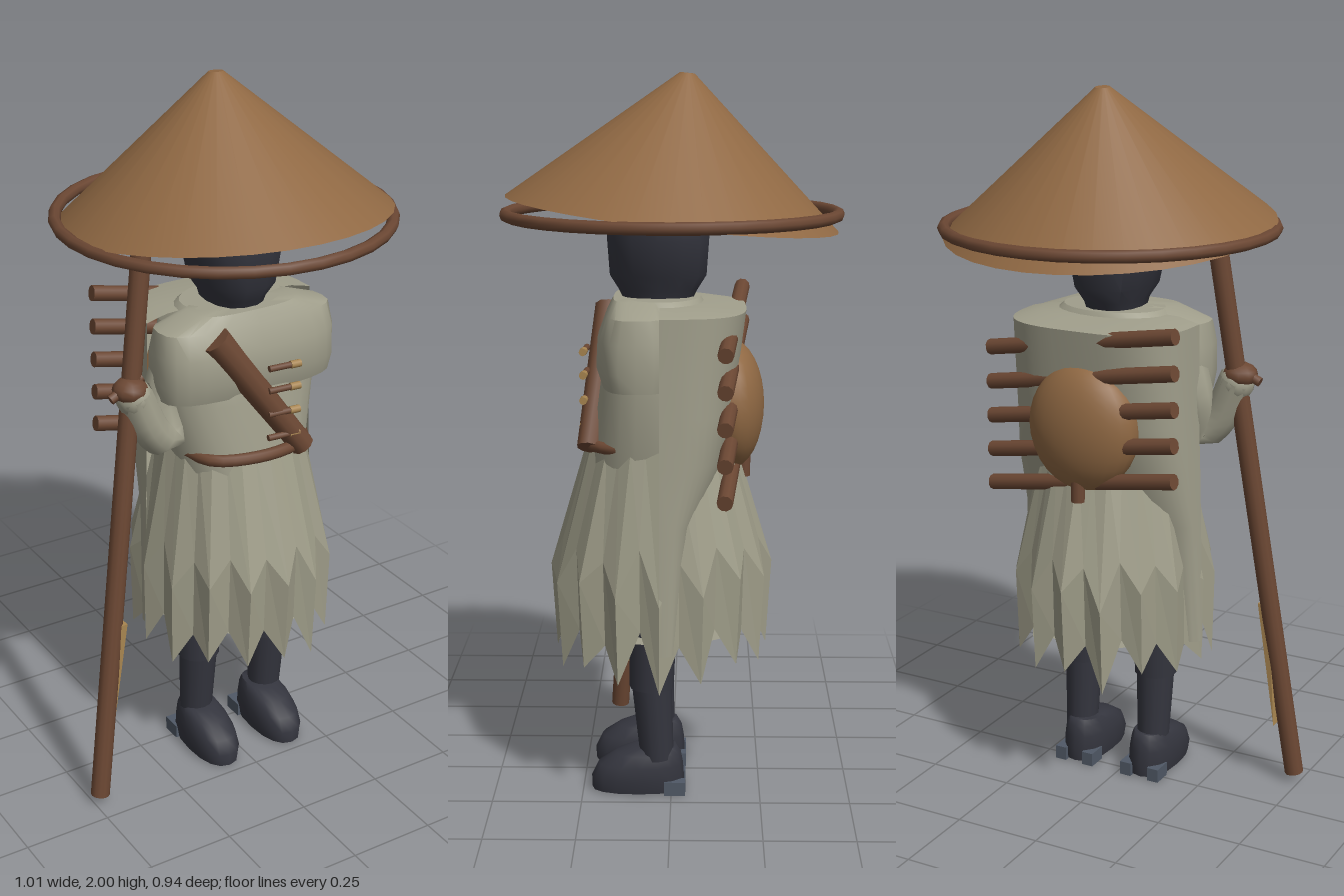
import * as THREE from 'three';
import { toCreasedNormals } from 'three/addons/utils/BufferGeometryUtils.js';

const D = THREE.DoubleSide;
const mat = (name, color, extra = {}) => {
  const m = new THREE.MeshStandardMaterial({ color, ...extra });
  m.name = name;
  return m;
};

// Stack of elliptical rings, bottom to top: { y, cx, cz, rx, rz, p (squareness), vary(i) -> [scale, dy] }
function loft(rings, n = 24, crease = 0.7, from = 0, to = Math.PI * 2) {
  const pos = [], idx = [];
  for (const { y, cx = 0.04, cz = 0.03, rx, rz, p = 1, vary } of rings) {
    for (let i = 0; i <= n; i++) {
      const a = from + (to - from) * i / n, c = Math.cos(a), s = Math.sin(a);
      const [k, dy] = vary ? vary(i % n) : [1, 0];
      pos.push(cx + rx * k * Math.sign(c) * Math.abs(c) ** p, y + dy, cz + rz * k * Math.sign(s) * Math.abs(s) ** p);
    }
  }
  for (let j = 0; j < rings.length - 1; j++) {
    for (let i = 0; i < n; i++) {
      const a = j * (n + 1) + i, b = a + 1, d = a + n + 1, c = d + 1;
      idx.push(a, d, c, a, c, b);
    }
  }
  const g = new THREE.BufferGeometry();
  g.setAttribute('position', new THREE.Float32BufferAttribute(pos, 3));
  g.setIndex(idx);
  return toCreasedNormals(g, crease);
}

export function createModel() {
  const root = new THREE.Group();
  const straw = mat('straw', 0x8f6843, { side: D });
  const wood = mat('wood', 0x6b4733);
  const cloth = mat('cloth', 0xa09e8b, { side: D });
  const pleated = mat('pleatedCloth', 0x9f9d89, { side: D, flatShading: true });
  const dark = mat('darkCloth', 0x34353e);
  const sole = mat('sole', 0x505966);
  const brass = mat('brass', 0xa88550);

  const add = (name, geo, material, x = 0, y = 0, z = 0) => {
    const m = new THREE.Mesh(geo, material);
    m.name = name;
    m.position.set(x, y, z);
    root.add(m);
    return m;
  };
  // Straight round bar between two points
  const bar = (name, a, b, r0, r1, material, sides = 10) => {
    const A = new THREE.Vector3(...a), B = new THREE.Vector3(...b);
    const dir = B.clone().sub(A);
    const m = add(name, new THREE.CylinderGeometry(r1, r0, dir.length(), sides), material);
    m.position.copy(A).add(B).multiplyScalar(0.5);
    m.quaternion.setFromUnitVectors(new THREE.Vector3(0, 1, 0), dir.normalize());
    return m;
  };
  const tube = (name, pts, r, material, n = 16) => add(name, new THREE.TubeGeometry(
    new THREE.CatmullRomCurve3(pts.map(p => new THREE.Vector3(...p))), n, r, 10), material);

  // Hat: tilted closed straw cone over a level rim hoop
  const hat = add('hatCone', new THREE.CylinderGeometry(0.02, 0.458, 0.378, 32), straw, 0.037, 1.813, -0.021);
  hat.rotation.x = -0.11;
  add('hatRim', new THREE.TorusGeometry(0.454, 0.017, 8, 32), wood, 0.037, 1.625, 0).rotation.x = Math.PI / 2;

  // Head wrapped in dark cloth
  const h = (y, rx, rz) => ({ y, cx: 0.037, cz: 0.037, rx, rz, p: 0.85 });
  add('head', loft([h(1.36, 0.07, 0.08), h(1.42, 0.082, 0.11), h(1.46, 0.108, 0.135), h(1.56, 0.13, 0.142),
    h(1.65, 0.138, 0.142), h(1.74, 0.1, 0.1), h(1.77, 0, 0)], 14), dark);

  // Torso and rounded shoulder wrap
  add('torso', loft([
    { y: 0.95, rx: 0.2, rz: 0.2, p: 0.8 }, { y: 1.15, rx: 0.23, rz: 0.17, p: 0.75 },
    { y: 1.35, rx: 0.2, rz: 0.14, p: 0.75 }, { y: 1.4, rx: 0.15, rz: 0.11 }, { y: 1.4, rx: 0, rz: 0 }]), cloth);
  const w = (y, rx, rz) => ({ y, cz: 0.09, rx, rz, p: 0.65 });
  add('shoulderWrap', loft([w(1.17, 0, 0), w(1.17, 0.265, 0.1), w(1.22, 0.272, 0.116), w(1.3, 0.272, 0.112),
    w(1.365, 0.262, 0.088), w(1.4, 0.16, 0.07), w(1.4, 0, 0)]), cloth);

  // Cape: covers the upper back and narrows to side panels below the waist
  const c = (y, rx, rz) => ({ y, cz: 0.03, rx, rz, p: 0.65 });
  add('cape', loft([c(0.45, 0.285, 0.06), c(0.8, 0.275, 0.1), c(0.97, 0.27, 0.18), c(1.1, 0.265, 0.2),
    c(1.37, 0.262, 0.235), c(1.385, 0.2, 0.15), c(1.39, 0.1, 0.08)], 24, 0.7, Math.PI, Math.PI * 2), cloth);

  // Pleated skirt with a ragged hem and an inner floor
  let seed = 7;
  const rnd = () => (seed = (seed * 16807) % 2147483647) / 2147483647;
  const hem = Array.from({ length: 32 }, (_, i) => (i % 2 ? 0.06 : -0.045) + (rnd() - 0.5) * 0.07);
  add('skirt', loft([
    { y: 0.42, rx: 0.285, rz: 0.3, vary: i => [i % 2 ? 0.9 : 0.99, hem[i]] },
    { y: 0.66, rx: 0.285, rz: 0.312, vary: i => [i % 2 ? 0.89 : 1, hem[i] * 0.9] },
    { y: 1.0, rx: 0.208, rz: 0.205, vary: i => [i % 2 ? 0.97 : 1, 0] }], 32, 0.1), pleated);
  add('skirtFloor', loft([{ y: 0.47, rx: 0, rz: 0 }, { y: 0.47, rx: 0.24, rz: 0.25 }]), cloth);

  // Belt across the front
  tube('belt', [[-0.145, 1, 0.09], [-0.11, 1, 0.19], [0.04, 1, 0.235], [0.17, 1, 0.2], [0.222, 1, 0.09]], 0.017, wood);

  // Chest strap with small pegs
  bar('chestStrap', [-0.1, 1.35, 0.178], [0.155, 0.995, 0.225], 0.042, 0.034, wood);
  for (const y of [1.255, 1.19, 1.12, 1.05]) {
    bar('strapPeg', [0.035, y, 0.235], [0.105, y, 0.24], 0.009, 0.009, wood, 8);
    bar('pegTip', [0.1, y, 0.24], [0.13, y, 0.242], 0.011, 0.011, brass, 8);
  }

  // Back frame: five slanted rods behind a rounded pack
  for (let i = 0; i < 5; i++) {
    const y = 1.28 - i * 0.099;
    bar('backRod', [0.34, y, -0.145], [-0.265, y + 0.108, -0.2], 0.022, 0.022, wood);
  }
  add('backPack', new THREE.SphereGeometry(1, 24, 16), straw, 0.03, 1.095, -0.165).scale.set(0.165, 0.18, 0.092);
  bar('packPeg', [0.03, 0.89, -0.2], [0.03, 0.96, -0.2], 0.02, 0.02, wood);

  // Bent right arm and the hand on the staff
  tube('rightSleeve', [[-0.16, 1.3, 0.06], [-0.2, 1.15, 0.06], [-0.2, 1.05, 0.09], [-0.25, 1.09, 0.1], [-0.305, 1.21, 0.1]], 0.052, cloth);
  add('rightCuff', new THREE.SphereGeometry(0.052, 12, 8), cloth, -0.303, 1.2, 0.1);
  add('rightHand', new THREE.SphereGeometry(0.045, 10, 8), wood, -0.315, 1.225, 0.1).scale.set(1.1, 0.8, 1.1);
  bar('thumb', [-0.375, 1.21, 0.1], [-0.28, 1.255, 0.1], 0.014, 0.014, wood, 8);

  // Walking staff with a brass sliver
  bar('staff', [-0.48, 0.025, 0.172], [-0.243, 1.68, 0.06], 0.027, 0.027, wood, 12);
  const sliver = new THREE.Shape([[-0.43, 0.18], [-0.372, 0.55], [-0.405, 0.55]].map(p => new THREE.Vector2(...p)));
  add('brassSliver', new THREE.ExtrudeGeometry(sliver, { depth: 0.034, bevelEnabled: false }), brass, 0, 0, 0.126);

  // Legs, shoes and heel blocks
  for (const [side, lx, fx] of [['right', -0.082, -0.076], ['left', 0.158, 0.143]]) {
    bar(side + 'Thigh', [lx, 0.31, 0.055], [lx, 0.62, 0.05], 0.062, 0.07, dark, 14);
    bar(side + 'Shin', [lx, 0.1, 0.04], [lx, 0.32, 0.055], 0.047, 0.056, dark, 14);
    const f = (y, cz, rx, rz) => ({ y, cx: fx, cz, rx, rz, p: 0.85 });
    add(side + 'Shoe', loft([f(0.004, 0.095, 0, 0), f(0.004, 0.095, 0.062, 0.13), f(0.04, 0.095, 0.069, 0.131),
      f(0.08, 0.087, 0.066, 0.12), f(0.112, 0.065, 0.058, 0.092), f(0.13, 0.045, 0.048, 0.06), f(0.133, 0.045, 0, 0)], 16, 1), dark);
    for (const s of [-1, 1]) add(side + 'HeelBlock', new THREE.BoxGeometry(0.035, 0.04, 0.06), sole, fx + s * 0.045, 0.02, -0.01);
  }
  return root;
}
